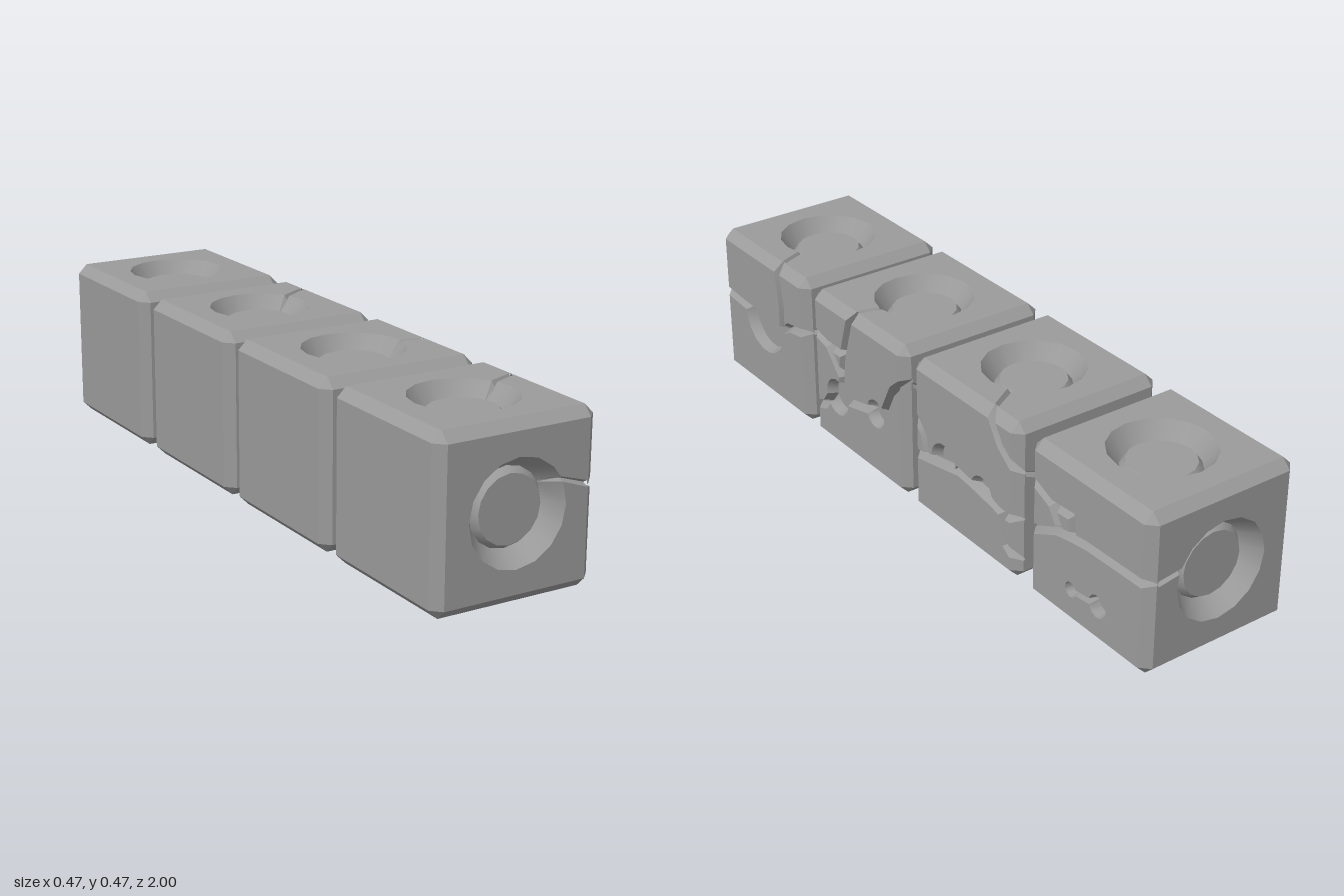
import * as THREE from 'three';
import { toCreasedNormals } from 'three/addons/utils/BufferGeometryUtils.js';

// Sizes in hundredths of a unit: half block, half flat face, start of the cracked layer
const H = 23.5, D = 20.8, BASE = 20.4;
const material = new THREE.MeshStandardMaterial({ color: 0x9b9b9b });

// Block corners, cut at 45 degrees, counter-clockwise
const BL = [[-H, -D], [-D, -H]], BR = [[D, -H], [H, -D]];
const TR = [[H, D], [D, H]], TL = [[-D, H], [-H, D]];
const OCTAGON = [...BL, ...BR, ...TR, ...TL];

const back = (path) => [...path].reverse();

function arc(cx, cy, r, from, to) {
  const n = Math.ceil(Math.abs(to - from) / 20);
  return Array.from({ length: n + 1 }, (_, i) => {
    const a = THREE.MathUtils.degToRad(from + (to - from) * i / n);
    return [cx + r * Math.cos(a), cy + r * Math.sin(a)];
  });
}

const quad = (out, a, b, c, d) => out.push(a, b, c, a, c, d);

function fill(out, contour, holes, place) {
  const all = [contour, ...holes].flat();
  const v2 = (ring) => ring.map((p) => new THREE.Vector2(p[0], p[1]));
  for (const f of THREE.ShapeUtils.triangulateShape(v2(contour), holes.map(v2))) {
    for (const i of f) out.push(place(all[i]));
  }
}

function makeMesh(points, name) {
  const geo = new THREE.BufferGeometry();
  geo.setAttribute('position', new THREE.Float32BufferAttribute(points.flat().map((v) => v / 100), 3));
  const mesh = new THREE.Mesh(toCreasedNormals(geo, 0.45), material);
  mesh.name = name;
  return mesh;
}

// Move every edge of a ring inward: block borders by the chamfer, other edges by the crack
function inset(ring, chamfer, crack) {
  const near = (a, b) => Math.abs(a - b) < 0.01;
  const lines = ring.map((p, i) => {
    const q = ring[(i + 1) % ring.length];
    const len = Math.hypot(q[0] - p[0], q[1] - p[1]);
    const n = [(p[1] - q[1]) / len, (q[0] - p[0]) / len];
    const side = [0, 1].some((k) => near(Math.abs(p[k]), H) && near(p[k], q[k]));
    const corner = [p, q].every((v) => near(Math.abs(v[0]) + Math.abs(v[1]), H + D));
    const d = side ? chamfer : corner ? chamfer * Math.SQRT1_2 : crack;
    return { n, d, c: p[0] * n[0] + p[1] * n[1] + d };
  });
  return ring.map((p, i) => {
    const a = lines[(i + ring.length - 1) % ring.length], b = lines[i];
    const det = a.n[0] * b.n[1] - a.n[1] * b.n[0];
    if (Math.abs(det) < 0.01) return [p[0] + b.n[0] * b.d, p[1] + b.n[1] * b.d];
    return [(a.c * b.n[1] - b.c * a.n[1]) / det, (a.n[0] * b.c - b.n[0] * a.c) / det];
  });
}

// One plate of the outer layer on the +x side, with sloped edges
function plate([contour, ...holes], name) {
  const out = [];
  const levels = [[BASE, 0, 0.3], [D, 0, 0.4], [H, H - D, 1.4]];
  const tops = [contour, ...holes].map((ring, k) => {
    const rings = levels.map(([, ch, cr]) => inset(ring, ch, k ? cr * 0.4 : cr));
    const at = (l, i) => [levels[l][0], rings[l][i][1], -rings[l][i][0]];
    for (let l = 0; l < 2; l++) {
      ring.forEach((_, i) => {
        const j = (i + 1) % ring.length;
        quad(out, at(l, i), at(l, j), at(l + 1, j), at(l + 1, i));
      });
    }
    return rings[2];
  });
  fill(out, tops[0], tops.slice(1), (p) => [H, p[1], -p[0]]);
  return makeMesh(out, name);
}

// Face with a round socket and an optional V channel running to the +x edge
function socketFace(groove) {
  const out = [], R = 14.3, delta = 0.06, w = 0.85, vDepth = 1.4;
  const step = Math.PI / 8;
  const at = ([a, b], depth = 0) => [a, H - depth, -b];
  const polar = (r, t) => [r * Math.cos(t), r * Math.sin(t)];
  const edge = [[BASE, D], [-BASE, D], [-BASE, -D], [BASE, -D]];
  let angles = Array.from({ length: 16 }, (_, i) => i * step);
  if (groove) {
    const theta = Math.asin(groove[0] / R), g = groove[1];
    const first = theta + delta, last = theta + 2 * Math.PI - delta;
    angles = Array.from({ length: 33 }, (_, i) => (i - 8) * step)
      .filter((t) => t > first + 0.03 && t < last - 0.03);
    angles = [theta, first, ...angles, last];
    const rim = angles.slice(1).map((t) => polar(R, t)).reverse();
    const up = [BASE, g + w], down = [BASE, g - w];
    const start = at(polar(R, theta), vDepth), end = at([BASE, g], vDepth);
    fill(out, [up, ...edge, down, ...rim], [], (p) => at(p));
    quad(out, start, end, at(up), at(rim[rim.length - 1]));
    quad(out, at(rim[0]), at(down), end, start);
  } else {
    fill(out, edge, [angles.map((t) => polar(R, t)).reverse()], (p) => at(p));
  }
  // Socket cone, raised centre and its flat top
  const rings = [[R, 0], [10.6, 5.5], [9.2, 3.5]].map(([r, d], k) =>
    angles.map((t, i) => at(polar(r, t), k === 0 && groove && i === 0 ? vDepth : d)));
  angles.forEach((_, i) => {
    const j = (i + 1) % angles.length;
    for (let k = 0; k < 2; k++) quad(out, rings[k][i], rings[k][j], rings[k + 1][j], rings[k + 1][i]);
    out.push(rings[2][i], rings[2][j], at([0, 0], 3.5));
  });
  // Chamfer beside the face
  quad(out, [-BASE, H, -D], [BASE, H, -D], [BASE, D, -H], [-BASE, D, -H]);
  return makeMesh(out, 'socketFace');
}

// Each layout splits the +x side along its crack paths into plates: [outline, ...holes]
function halfDiscLayout() {
  const left = [[-H, 3.5], [-12, 2.7], [10, 2.1]], right = [[14, 5.2], [H, 6.8]];
  const branch = [[10.5, 10], [8.3, H]];
  return [
    [[...left, ...branch, ...TL]],
    [[left[2], ...right, ...TR, ...back(branch)]],
    [[...BL, ...BR, ...back(right), ...arc(0, 2.4, 9.5, 0, -180), left[1], left[0]]],
  ];
}

function twoPitLayout() {
  const left = [[-H, -14], [-17.5, -11.8]], right = [[13.5, 0], [17.8, 8.5], [H, 13.4]];
  const side = [-H, 11], top = [-2.5, H], a = [-15, 9], b = [-7, 9], c = [-8, 1];
  const bigPit = (from, to) => arc(-10.6, -6.4, 4.2, from, to);
  const smallPit = (from, to) => arc(9.2, -2.7, 2.9, from, to);
  return [
    [[side, a, b, top, ...TL]],
    [[a, c, b]],
    [[...left, ...bigPit(200, 60), c, a, side]],
    [[c, ...bigPit(60, 10), ...smallPit(180, 20), ...right, ...TR, top, b]],
    [[...BL, ...BR, ...back(right), ...smallPit(20, -180), ...bigPit(10, -160), ...back(left)]],
  ];
}

function archLayout() {
  const join = [-16, -4.5], fork = [17, -5], beside = [13.5, -4], middle = [-2, -1.8];
  const wedge = [[-H, 8], [-18, 2]], leftEnd = [-H, -6], rightEnd = [H, -4.5];
  const corner = [[H, 9.5], [16.5, 15], [11, H]], tail = [[19, -14], [H, -17]];
  return [
    [[...wedge, join, ...arc(-8.6, -2.5, 4.2, 195, -10), middle, ...arc(8.4, -3, 3.2, 180, 0),
      beside, fork, rightEnd, ...corner, ...TL]],
    [[...back(corner), ...TR]],
    [[wedge[0], leftEnd, join, wedge[1]]],
    [[fork, ...tail, rightEnd]],
    [[...BL, ...BR, ...back(tail), fork, beside, [4, -2.5], middle, [-13, -4], join, leftEnd]],
  ];
}

function dumbbellLayout() {
  const side = [-H, 12.5], a = [-14, 8.5], b = [-6, 9], c = [-5, 3], d = [-10, 2.2];
  const left = [[-H, -3.7], [-12.5, 1.6]], right = [[0, 3.7], [H, 4.2]];
  const dumbbell = [...arc(5, -11.8, 2.7, 173, -173), ...arc(-5.5, -12.6, 1.6, -11, -349)];
  return [
    [[side, a, b, c, ...right, ...TR, ...TL]],
    [[side, ...left, d, a]],
    [[a, d, c, b]],
    [[...BL, ...BR, ...back(right), c, d, ...back(left)], dumbbell],
  ];
}

// Front to back; grooves of the top, front, bottom and back sides as [start, end]
const blocks = [
  { z: 0.765, layout: halfDiscLayout, grooves: [[5.5, 8.3], [6.5, 4], null, [-6, -6.7]] },
  { z: 0.26, layout: twoPitLayout, grooves: [[-1, -2.5], [7, 10.5], null, [-7, -12]] },
  { z: -0.247, layout: archLayout, grooves: [[6.5, 11], [6, 7.5], null, [-6, -9]] },
  { z: -0.765, layout: dumbbellLayout, grooves: [null, [7, 12], null, [-5, -4]] },
];

export function createModel() {
  const model = new THREE.Group();
  model.name = 'blockRow';
  blocks.forEach(({ z, layout, grooves }, n) => {
    const block = new THREE.Group();
    block.name = 'block' + (n + 1);
    block.position.set(0, H / 100, z);
    grooves.forEach((groove, k) => {
      const face = socketFace(groove);
      face.rotation.x = k * Math.PI / 2;
      block.add(face);
    });
    // Plain side
    const plain = plate([OCTAGON], 'plainSide');
    plain.rotation.y = Math.PI;
    block.add(plain);
    // Cracked side: floor of the cracks and the plates above it
    const floor = [];
    fill(floor, OCTAGON, [], (p) => [BASE, p[1], -p[0]]);
    block.add(makeMesh(floor, 'crackFloor'));
    layout().forEach((rings) => block.add(plate(rings, 'crackedPlate')));
    model.add(block);
  });
  return model;
}
